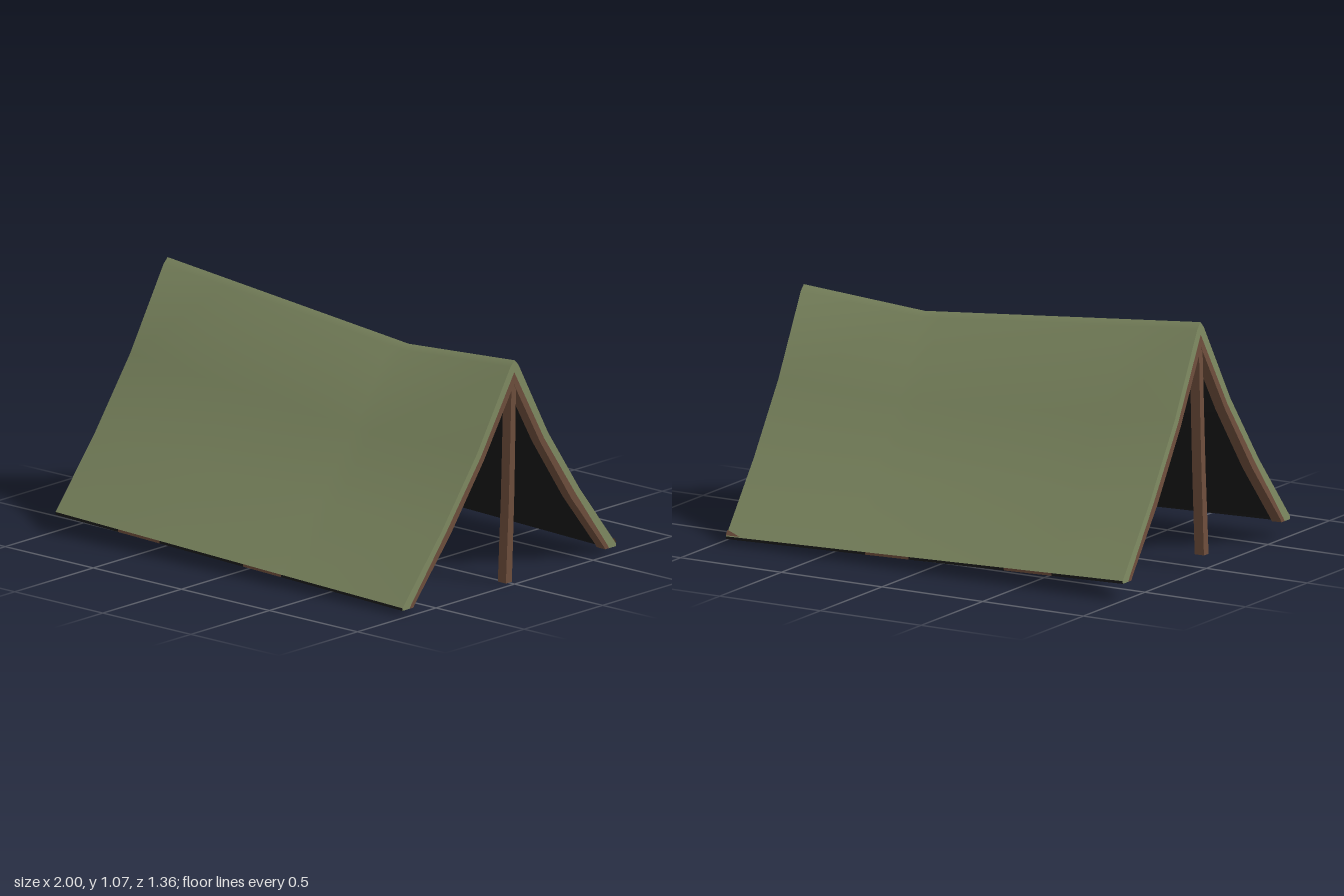
import * as THREE from 'three';
import { toCreasedNormals } from 'three/addons/utils/BufferGeometryUtils.js';

const material = (name, color) => {
  const m = new THREE.MeshStandardMaterial({ color });
  m.name = name;
  return m;
};

// Half profiles as [z, height fraction between hem and ridge], ridge first
const OUTER = [[0, 1], [0.025, 0.975], [0.225, 0.62], [0.44, 0.31], [0.68, 0.008], [0.68, -0.004]];
const INNER = [[0, 0.945], [0.015, 0.919], [0.2, 0.6], [0.41, 0.3], [0.625, 0.012], [0.635, -0.004]];
const RAFTER = [[0, 0.89], [0.012, 0.868], [0.18, 0.58], [0.385, 0.28], [0.6, 0.012], [0.61, -0.004]];
const SAG = 0.39;

// Sloping hem, sagging ridge line and leaning ends
function point(u, z, f) {
  const hem = 0.05 - 0.0275 * u;
  const ridge = u < SAG
    ? THREE.MathUtils.mapLinear(u, -1, SAG, 1.07, 0.945)
    : THREE.MathUtils.mapLinear(u, SAG, 1, 0.945, 0.985);
  return [u * 0.985 - 0.015 + 0.03 * f, hem + (ridge - hem) * f, z];
}

// Full profile from the front hem over the ridge to the back hem
const full = (half) => [
  ...half.slice().reverse(),
  ...half.slice(1).map(([z, f]) => [-z, f]),
];

const quad = (list, a, b, c, d) => list.push(...a, ...b, ...c, ...a, ...c, ...d);

function meshFrom(positions, mat, name) {
  const geometry = new THREE.BufferGeometry();
  geometry.setAttribute('position', new THREE.Float32BufferAttribute(positions, 3));
  const mesh = new THREE.Mesh(toCreasedNormals(geometry, 0.4), mat);
  mesh.name = name;
  return mesh;
}

// Bent slab between two profiles, sorted into lists of faces
function slab(outerHalf, innerHalf, stations) {
  const outer = full(outerHalf), inner = full(innerHalf), n = outer.length;
  const faces = { top: [], under: [], ends: [], hem: [], stain: [] };
  const P = (u, p) => point(u, p[0], p[1]);
  for (let s = 0; s < stations.length - 1; s++) {
    const [a, b] = [stations[s], stations[s + 1]];
    const hemList = s === 1 || s === 3 ? faces.stain : faces.hem;
    for (let i = 0; i < n - 1; i++) {
      const atHem = i === 0 || i === n - 2;
      const [p, q, r, t] = [outer[i], outer[i + 1], inner[i], inner[i + 1]];
      quad(atHem ? hemList : faces.top, P(a, p), P(b, p), P(b, q), P(a, q));
      quad(faces.under, P(a, t), P(b, t), P(b, r), P(a, r));
    }
    // Bottom edges
    quad(faces.hem, P(a, inner[0]), P(b, inner[0]), P(b, outer[0]), P(a, outer[0]));
    quad(faces.hem, P(a, outer[n - 1]), P(b, outer[n - 1]), P(b, inner[n - 1]), P(a, inner[n - 1]));
  }
  const u0 = stations[0], u1 = stations[stations.length - 1];
  for (let i = 0; i < n - 1; i++) {
    const loop = [outer[i], inner[i], inner[i + 1], outer[i + 1]];
    quad(faces.ends, ...loop.map((p) => P(u1, p)));
    quad(faces.ends, ...loop.slice().reverse().map((p) => P(u0, p)));
  }
  return faces;
}

// Slightly crooked square post: sections are [fraction, z, half width]
function post(u, mat, name) {
  const foot = u > 0 ? -0.0243 : -0.0175;
  const rings = [[foot, 0, 0.019], [0.35, -0.004, 0.017], [0.6, -0.003, 0.016], [0.93, 0, 0.014]]
    .map(([f, z, h]) => {
      const [x, y] = point(u, 0, f);
      return [[1, 1], [1, -1], [-1, -1], [-1, 1]].map(([sx, sz]) => [x + sx * 0.023, y, z + sz * h]);
    });
  const list = [];
  for (let k = 0; k < rings.length - 1; k++) {
    for (let i = 0; i < 4; i++) {
      const j = (i + 1) % 4;
      quad(list, rings[k][i], rings[k][j], rings[k + 1][j], rings[k + 1][i]);
    }
  }
  quad(list, ...rings[0].slice().reverse());
  quad(list, ...rings[rings.length - 1]);
  return meshFrom(list, mat, name);
}

export function createModel() {
  const canvas = material('canvas green', 0x7f8a62);
  const wood = material('wood brown', 0x6e4e3c);
  const dark = material('dark lining', 0x1a1a1a);
  const tent = new THREE.Group();
  tent.name = 'tent';

  // Canopy cloth with its lining and hems
  const cloth = slab(OUTER, INNER, [-1, -0.64, -0.4, 0.08, 0.3, SAG, 1]);
  tent.add(
    meshFrom(cloth.top, canvas, 'canopy'),
    meshFrom(cloth.ends, canvas, 'canopyEnds'),
    meshFrom(cloth.under, dark, 'lining'),
    meshFrom(cloth.hem, dark, 'hem'),
    meshFrom(cloth.stain, wood, 'hemPatches'),
  );

  // Small worn corner at the back left
  const corner = [[0.93, -0.681, 0.01], [1, -0.666, 0.032], [1, -0.681, 0.01]]
    .flatMap(([u, z, f]) => { const [x, y, w] = point(u, z, f); return [x, y + 0.003, w - 0.001]; });
  const cornerPatch = meshFrom(corner, wood.clone(), 'cornerPatch');
  cornerPatch.material.side = THREE.DoubleSide;
  tent.add(cornerPatch);

  // Rafters under each end and the posts that carry them
  for (const side of [-1, 1]) {
    const label = side > 0 ? 'left' : 'right';
    const span = side > 0 ? [0.95, 1] : [-1, -0.95];
    const beam = Object.values(slab(INNER, RAFTER, span)).flat();
    tent.add(meshFrom(beam, wood, label + 'Rafters'));
    tent.add(post(side * 0.975, wood, label + 'Post'));
  }
  return tent;
}
